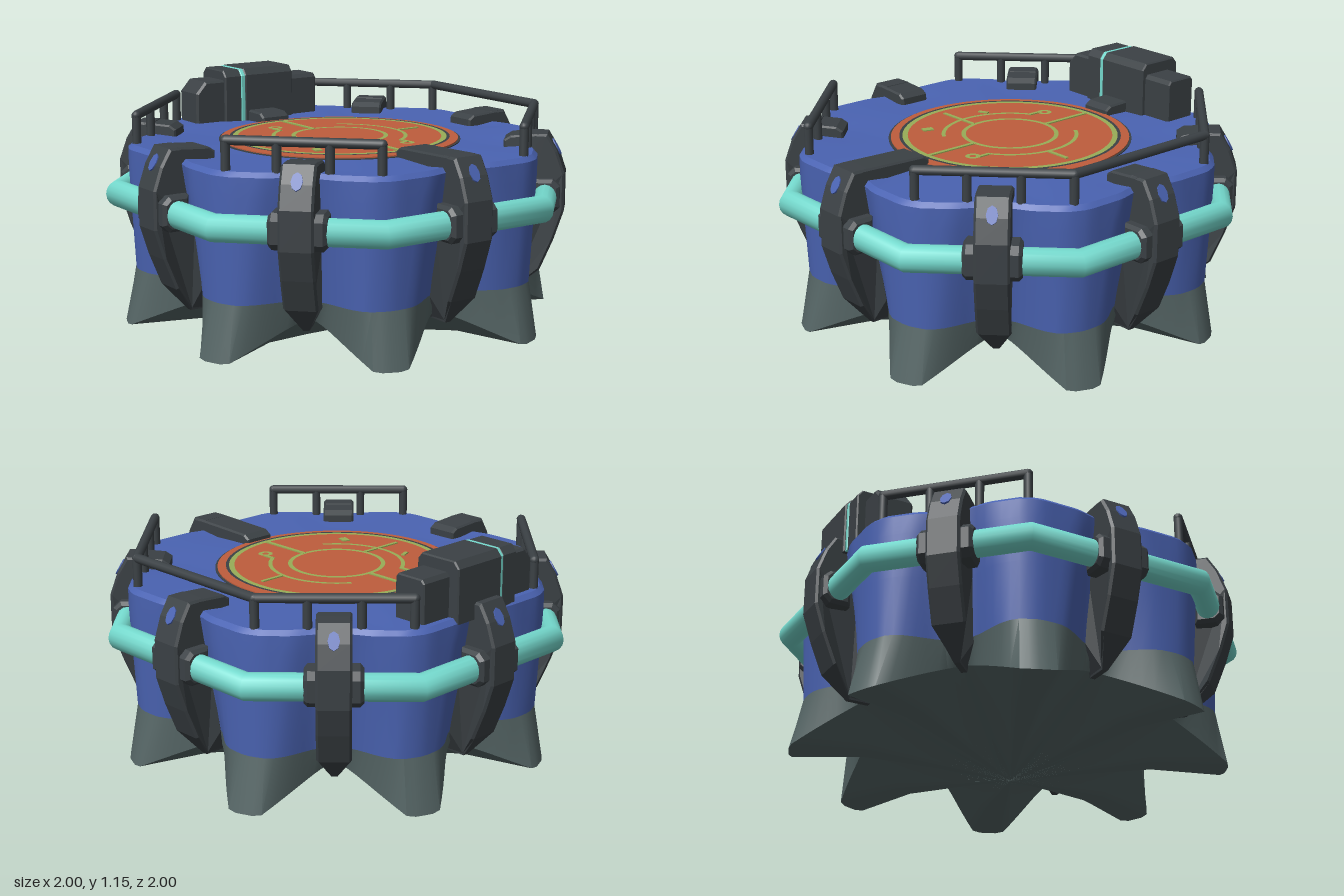
import * as THREE from 'three';
import { toCreasedNormals } from 'three/addons/utils/BufferGeometryUtils.js';

const mat = (name, color) => {
  const m = new THREE.MeshStandardMaterial({ color });
  m.name = name;
  return m;
};
const lerp = THREE.MathUtils.lerp;
const smooth = THREE.MathUtils.smoothstep;

export function createModel() {
  const blue = mat('blue', 0x4a63b2);
  const grey = mat('stone grey', 0x556565);
  const dark = mat('dark metal', 0x3b4145);
  const teal = mat('teal', 0x75daCe);
  const orange = mat('orange', 0xbe5d3c);
  const green = mat('green', 0x98ad57);

  const model = new THREE.Group();
  const add = (name, geo, material, parent = model) => {
    const mesh = new THREE.Mesh(geo, material);
    mesh.name = name;
    parent.add(mesh);
    return mesh;
  };

  // ---- Body: loops of cross-sections, fluted at the eight clamps ----
  const N = 160, STEP = Math.PI / 4;
  // u is 0 at a clamp direction and 1 at a corner between two clamps
  const cornerness = (a) => Math.abs(a / STEP - Math.round(a / STEP)) * 2;
  // octagon whose diagonal sides stand slightly further out, with blunt corners
  const octagon = (a, apothem) => {
    const c = Math.abs(Math.cos(a)), s = Math.abs(Math.sin(a));
    return apothem * Math.min(1.075, 1 / Math.max(c, s, (c + s) / (Math.SQRT2 * 1.022)));
  };
  const wall = (y, apothem, indent, reach) => (u, a) =>
    [octagon(a, apothem) - indent * (1 - smooth(u, 0.15, reach)), y];
  const star = (rValley, yValley, rTip, yTip) => (u) => {
    const f = Math.min(1, u / 0.82) ** 1.5;
    return [lerp(rValley, rTip, f), lerp(yValley, yTip, f)];
  };
  function loft(rows) {
    const pos = [], idx = [];
    rows.forEach((row, i) => {
      for (let j = 0; j < N; j++) {
        const a = (j / N) * Math.PI * 2;
        const [r, y] = row(cornerness(a), a);
        pos.push(r * Math.cos(a), y, -r * Math.sin(a));
        if (i === rows.length - 1) continue;
        const k = (j + 1) % N;
        const p = i * N + j, q = i * N + k;
        idx.push(p, q, q + N, p, q + N, p + N);
      }
    });
    const g = new THREE.BufferGeometry();
    g.setAttribute('position', new THREE.Float32BufferAttribute(pos, 3));
    g.setIndex(idx);
    return toCreasedNormals(g, 0.6);
  }
  const seam = wall(0.34, 0.868, 0.11, 0.75);
  add('starBase', loft([
    star(0.002, 0.003, 0.002, 0), star(0.3, 0.09, 0.32, 0.052), star(0.56, 0.19, 0.65, 0.1),
    star(0.71, 0.245, 0.985, 0.095), seam,
  ]), grey);
  const rim = wall(0.905, 0.868, 0.025, 0.5);
  add('hull', loft([
    seam, wall(0.6, 0.88, 0.07, 0.65), wall(0.8, 0.888, 0.04, 0.55), wall(0.885, 0.888, 0.025, 0.5), rim,
  ]), blue);
  add('deck', loft([
    rim, (u) => [0.75, lerp(0.892, 0.903, smooth(u, 0.1, 0.8))], () => [0.56, 0.9], () => [0.002, 0.9],
  ]), blue);

  // ---- Central pad with inlaid circuit lines ----
  const disc = (name, r, top, m) => {
    add(name, new THREE.CylinderGeometry(r, r, 0.03, 64), m).position.y = top - 0.015;
  };
  disc('padGroove', 0.548, 0.904, dark);
  disc('pad', 0.538, 0.909, orange);
  const inlay = (name, r, w, m, start = 0, end = 360, x = 0, z = 0) => {
    const rad = Math.PI / 180;
    const g = new THREE.RingGeometry(r - w / 2, r + w / 2, 64, 1, start * rad, (end - start) * rad);
    add(name, g.rotateX(-Math.PI / 2).translate(x, 0.913, z), m);
  };
  inlay('padOuterShadowLine', 0.493, 0.014, dark);
  inlay('padOuterLine', 0.474, 0.024, green);
  inlay('padInnerLine', 0.21, 0.02, green);
  const line = (x, z, w, d, turn = 0) =>
    add('padStraightLine', new THREE.BoxGeometry(w, 0.006, d).rotateY(turn).translate(x, 0.911, z), green);
  line(0, -0.34, 0.018, 0.26);
  line(0, 0.34, 0.018, 0.26);
  line(-0.32, 0.035, 0.22, 0.016);
  line(0.36, 0.035, 0.12, 0.016);
  inlay('padArc', 0.3, 0.018, green, -60, 58);
  inlay('padArc', 0.3, 0.018, green, 120, 238);
  for (const s of [1, -1]) {
    inlay('padNode', 0.024, 0.018, green, 0, 360, s * 0.135, s * 0.33);
    line(s * 0.155, s * 0.283, 0.016, 0.06);
  }
  line(-0.325, -0.115, 0.05, 0.018, 0.4);
  line(-0.29, 0.245, 0.035, 0.05, -0.3);

  // ---- Teal octagonal bumper ----
  const ringProfile = [];
  for (let i = 0; i <= 16; i++) {
    const a = (i / 16) * Math.PI * 2;
    ringProfile.push(new THREE.Vector2(0.915 / Math.cos(Math.PI / 8) + 0.056 * Math.cos(a), 0.68 + 0.06 * Math.sin(a)));
  }
  const ring = new THREE.LatheGeometry(ringProfile, 8, Math.PI / 8);
  // lengthen the four straight sides so the diagonals move outwards
  const rp = ring.attributes.position;
  for (let i = 0; i < rp.count; i++) {
    const x = rp.getX(i), z = rp.getZ(i);
    if (Math.abs(x) < Math.abs(z)) rp.setX(i, x + 0.035 * Math.sign(x));
    else rp.setZ(i, z + 0.035 * Math.sign(z));
  }
  add('bumperRing', toCreasedNormals(ring, 0.9), teal);

  // ---- Eight clamps ----
  const extrude = (points, depth, bevel) => {
    const g = new THREE.ExtrudeGeometry(new THREE.Shape(points.map((p) => new THREE.Vector2(...p))), {
      depth: depth - 2 * bevel, bevelThickness: bevel, bevelSize: bevel, bevelOffset: -bevel, bevelSegments: 1,
    });
    return g.translate(0, 0, bevel - depth / 2);
  };
  const armInner = [0.7, 0.75, 0.53, 0.75, 0.7, 0.75, 0.52, 0.75];
  armInner.forEach((inner, k) => {
    const clamp = new THREE.Group();
    clamp.name = 'clamp';
    clamp.rotation.y = k * STEP;
    model.add(clamp);
    // diagonal clamps stand further out
    const out = k % 2 ? 0.022 : 0;
    const shift = (points) => points.map(([r, y]) => [r + out, y]);
    const body = extrude(shift([
      [0.84, 0.955], [0.92, 0.955], [0.965, 0.88], [1.0, 0.78], [1.0, 0.61], [0.958, 0.48], [0.9, 0.34],
      [0.8 - out, 0.22], [0.7 - out, 0.22], [0.76 - out, 0.34], [0.8, 0.6], [0.82, 0.88],
    ]), 0.148, 0.01);
    // pinch the lower end to a point
    const p = body.attributes.position;
    for (let i = 0; i < p.count; i++) if (p.getY(i) < 0.27) p.setZ(i, p.getZ(i) * 0.2);
    body.computeVertexNormals();
    add('clampBody', body, dark, clamp);
    add('clampArm', extrude([
      [inner, 0.88], [0.88 + out, 0.88], [0.88 + out, 0.955], [inner + 0.03, 0.945], [inner, 0.925],
    ], 0.148, 0.008), dark, clamp);
    add('clampCollar', extrude(shift([
      [0.855, 0.605], [0.95, 0.605], [0.982, 0.635], [0.982, 0.73], [0.95, 0.76], [0.855, 0.76],
    ]), 0.245, 0.015), dark, clamp);
    const stud = add('clampStud', new THREE.CylinderGeometry(0.025, 0.025, 0.008, 8), blue, clamp);
    stud.scale.x = 1.6;
    stud.position.set(0.959 + out, 0.891, 0);
    stud.rotation.z = -1.05;
  });

  // ---- Railings ----
  const bar = (name, a, b, r) => {
    const d = b.clone().sub(a);
    const m = add(name, new THREE.CapsuleGeometry(r, d.length(), 4, 10), dark);
    m.position.copy(a).addScaledVector(d, 0.5);
    m.quaternion.setFromUnitVectors(new THREE.Vector3(0, 1, 0), d.normalize());
  };
  const RAIL_Y = 1.03;
  for (const sx of [1, -1]) for (const sz of [1, -1]) {
    const a = new THREE.Vector3(sx * 0.375, RAIL_Y, sz * 0.835);
    const b = new THREE.Vector3(sx * 0.835, RAIL_Y, sz * 0.38);
    bar('railTop', a, b, 0.021);
    for (const t of [0, 0.33, 0.67, 1]) {
      const top = a.clone().lerp(b, t);
      bar('railPost', top.clone().setY(0.89), top, 0.02);
    }
  }
  bar('sideRail', new THREE.Vector3(0.835, RAIL_Y, -0.38), new THREE.Vector3(0.835, RAIL_Y, 0.38), 0.021);

  // ---- Control unit at the back ----
  const unit = new THREE.Group();
  unit.name = 'controlUnit';
  model.add(unit);
  // side profile (z, y) swept along x
  const block = (name, x0, x1, z0, z1, top, m, c = 0.05) => {
    const g = extrude([
      [-z1, 0.88], [-z0, 0.88], [-z0, top - c * 0.6], [-z0 - c * 0.5, top], [-z1 + c * 0.5, top], [-z1, top - c * 0.6],
    ], x1 - x0, 0.006);
    add(name, g.rotateY(Math.PI / 2).translate((x0 + x1) / 2, 0, 0), m, unit);
  };
  block('unitLeftCore', -0.2, -0.108, -0.88, -0.665, 1.145, dark);
  block('unitSeam', -0.114, -0.086, -0.882, -0.663, 1.146, teal);
  block('unitMainCore', -0.092, 0.178, -0.89, -0.66, 1.148, dark);
  block('unitRightEnd', 0.17, 0.33, -0.84, -0.68, 1.095, dark, 0.03);
  add('unitLeftEnd', extrude([[-0.35, 0.88], [-0.19, 0.88], [-0.19, 1.1], [-0.3, 1.1], [-0.35, 1.045]], 0.16, 0.01)
    .translate(0, 0, -0.76), dark, unit);

  return model;
}
